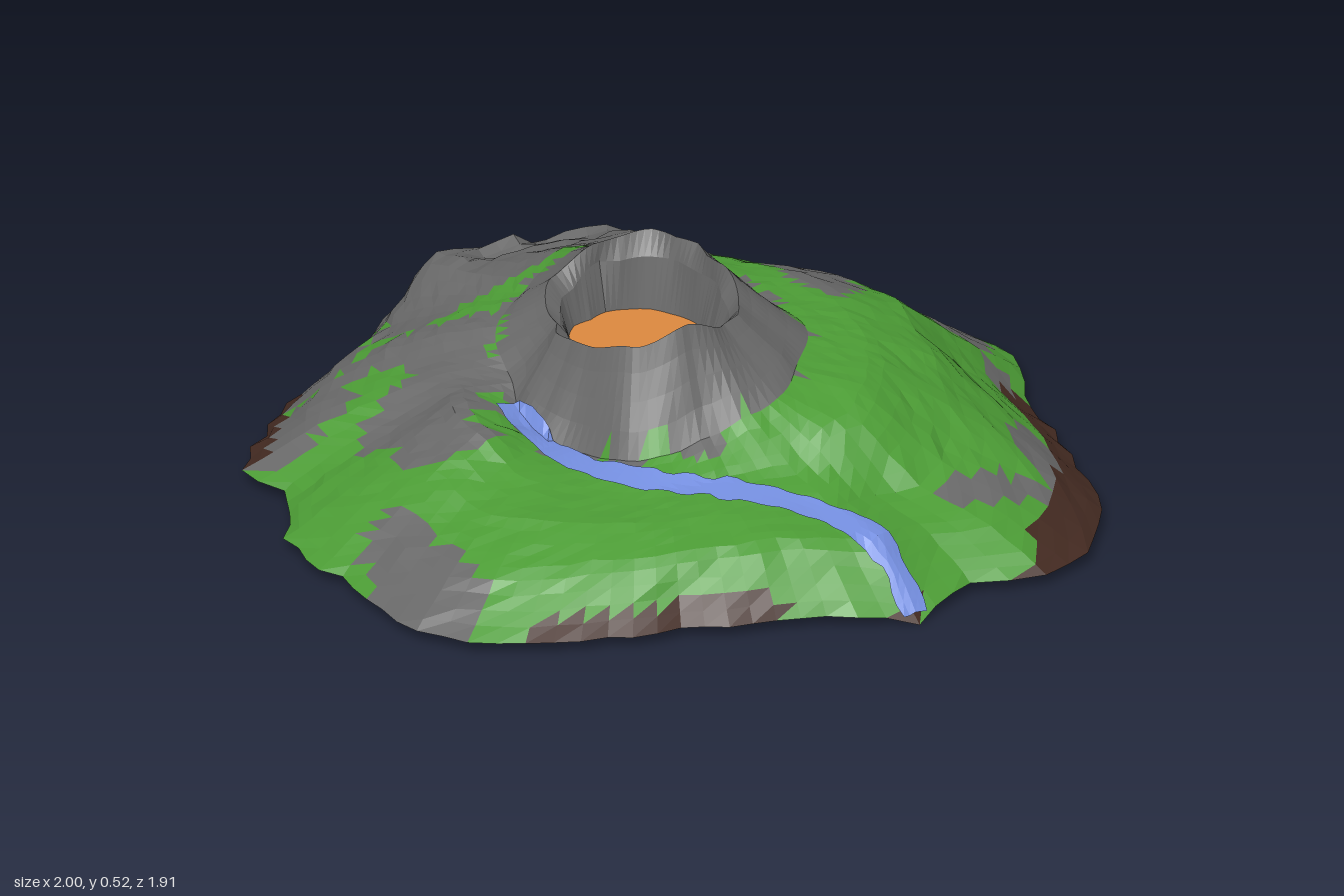
import * as THREE from 'three';

const CX = -0.05, CZ = -0.05, BASE = 0.03, LAVA = 0.34, SEG = 96, TAU = Math.PI * 2;

// Coastline corners (x, z)
const coast = [
  [0.94, -0.02], [0.91, 0.08], [0.89, 0.4], [0.85, 0.66], [0.73, 0.82], [0.58, 0.91], [0.42, 0.86], [0.3, 0.89], [0.22, 0.955],
  [0.12, 0.91], [-0.05, 0.86], [-0.3, 0.79], [-0.55, 0.74], [-0.8, 0.65], [-0.92, 0.53], [-0.95, 0.25],
  [-1, -0.02], [-0.89, -0.24], [-0.93, -0.42], [-0.8, -0.58], [-0.66, -0.71], [-0.53, -0.74], [-0.37, -0.9], [-0.25, -0.94],
  [0, -0.93], [0.29, -0.96], [0.4, -0.86], [0.5, -0.7], [0.62, -0.55], [0.85, -0.45], [0.97, -0.3], [0.99, -0.13],
].map(([x, z]) => [(Math.atan2(z - CZ, x - CX) + TAU) % TAU, Math.hypot(x - CX, z - CZ)])
  .sort((a, b) => a[0] - b[0]);

// Flank heights every 15 degrees, from the foot of the cone out to the coast
const flank = [
  [.35, .34, .29, .15], [.35, .34, .28, .14], [.35, .34, .25, .14], [.35, .34, .20, .13],
  [.34, .31, .17, .13], [.32, .23, .19, .16], [.28, .22, .20, .18], [.25, .21, .20, .17],
  [.23, .205, .20, .16], [.215, .205, .20, .14], [.21, .23, .19, .12], [.22, .29, .22, .13],
  [.25, .30, .21, .12], [.29, .28, .20, .13], [.32, .28, .22, .15], [.35, .31, .25, .17],
  [.37, .32, .27, .21], [.39, .35, .31, .27], [.42, .36, .30, .27], [.41, .35, .30, .26],
  [.39, .34, .29, .20], [.37, .34, .28, .18], [.36, .34, .28, .17], [.35, .34, .27, .14],
];
// Crater rim heights every 30 degrees
const rimHeights = [.52, .47, .475, .525, .47, .44, .43, .42, .45, .51, .525, .525];

const lerp = THREE.MathUtils.lerp;
const hash = (a, b) => {
  const s = Math.sin(a * 127.1 + b * 311.7) * 43758.5453;
  return (s - Math.floor(s)) * 2 - 1;
};
const softNoise = (x, y) => {
  const i = Math.floor(x), j = Math.floor(y);
  return lerp(lerp(hash(i, j), hash(i + 1, j), x - i), lerp(hash(i, j + 1), hash(i + 1, j + 1), x - i), y - j);
};

function coastRadius(a) {
  const n = coast.length;
  let k = coast.findIndex((p) => p[0] > a);
  if (k < 0) k = n;
  const [p, q] = [coast[(k + n - 1) % n], coast[k % n]];
  const span = (q[0] - p[0] + TAU) % TAU;
  return lerp(p[1], q[1], ((a - p[0] + TAU) % TAU) / span);
}

// Sample a list that runs around the full circle
function around(list, a, pick = (v) => v) {
  const f = (a / TAU) * list.length, i = Math.floor(f), u = f - i;
  return lerp(pick(list[i % list.length]), pick(list[(i + 1) % list.length]), u * u * (3 - 2 * u));
}

const ellipse = (a, rx, rz) => 1 / Math.hypot(Math.cos(a) / rx, Math.sin(a) / rz);
const floorRadius = (a) => ellipse(a, 0.17, 0.205) - 0.03 * Math.max(0, 1 - Math.abs(a - 2.1) / 0.5);
const rimRadius = (a) => ellipse(a, 0.22, 0.265) + 0.008 * Math.sin(5 * a);
const footRadius = (a) => ellipse(a, 0.36, 0.4) + 0.03 * Math.cos(a) + 0.012 * Math.sin(7 * a);
const edgeHeight = (a) => BASE * Math.min(1, Math.abs(a - 1.31) / 0.09);

function flankHeight(a, t) {
  const f = Math.min(t, 1) * 4, i = Math.min(Math.floor(f), 3);
  const at = (k) => (k > 3 ? edgeHeight(a) : around(flank, a, (row) => row[k]));
  return lerp(at(i), at(i + 1), f - i);
}

const polar = (x, z) => [(Math.atan2(z - CZ, x - CX) + TAU) % TAU, Math.hypot(x - CX, z - CZ)];

function groundHeight(x, z) {
  const [a, r] = polar(x, z), foot = footRadius(a), rim = rimRadius(a);
  if (r >= foot) return flankHeight(a, (r - foot) / (coastRadius(a) - foot));
  const u = THREE.MathUtils.clamp((r - rim) / (foot - rim), 0, 1);
  return lerp(around(rimHeights, a), flankHeight(a, 0), Math.pow(u, 0.9));
}

// Concentric rings: crater floor, inner wall, rim, cone, flanks, coast
const FLANK_RINGS = 18;
function makeRings() {
  const rings = [];
  const ring = (fn) => rings.push(Array.from({ length: SEG }, (_, i) => {
    const a = (i / SEG) * TAU, [r, y] = fn(a, i);
    return new THREE.Vector3(CX + Math.cos(a) * r, y, CZ + Math.sin(a) * r);
  }));
  ring((a, i) => [floorRadius(a) + 0.012 * softNoise(i / 4, 3), LAVA]);
  ring((a, i) => [lerp(floorRadius(a), rimRadius(a), 0.55) + 0.012 * softNoise(i / 3, 5), lerp(LAVA, around(rimHeights, a), 0.7)]);
  for (const u of [0, 0.2, 0.45, 0.72]) {
    ring((a, i) => {
      const r = lerp(rimRadius(a), footRadius(a), u);
      const y = groundHeight(CX + Math.cos(a) * r, CZ + Math.sin(a) * r);
      return [r + 0.012 * softNoise(i / 4, 11), y];
    });
  }
  for (let j = 0; j <= FLANK_RINGS; j++) {
    ring((a, i) => {
      const t = j / FLANK_RINGS, inner = j > 0 && j < FLANK_RINGS;
      // Crags on the back cliff
      const back = Math.max(0, 1 - Math.abs(a - 4.75) / 0.6) * Math.max(0, 1 - Math.abs(t - 0.65) / 0.3);
      const crag = back * (0.02 + 0.07 * softNoise(i / 2, j / 2));
      const wobble = inner ? 0.006 : j ? 0.012 : 0;
      return [lerp(footRadius(a), coastRadius(a), t) + wobble * hash(i, j), flankHeight(a, t) + crag + (inner ? 0.002 * hash(i, j + 40) : 0)];
    });
  }
  return rings;
}

// Bare rock patches (x, z, radius x, radius z)
const rockPatches = [
  [0, -0.75, 0.52, 0.27], [-0.25, -0.57, 0.28, 0.11], [0.36, -0.62, 0.18, 0.16], [-0.57, 0, 0.15, 0.13],
  [-0.55, -0.18, 0.18, 0.12], [-0.78, -0.43, 0.15, 0.11], [-0.42, -0.33, 0.12, 0.1], [-0.55, -0.45, 0.14, 0.07],
  [0.52, -0.26, 0.09, 0.14], [0.46, -0.46, 0.09, 0.13], [0.86, -0.26, 0.09, 0.16], [0.78, 0.5, 0.06, 0.18],
  [0.56, 0.63, 0.16, 0.06], [-0.83, 0.48, 0.11, 0.15], [-0.83, 0.22, 0.08, 0.11], [-0.62, -0.6, 0.1, 0.07],
  [-0.9, 0.38, 0.05, 0.12], [0.87, 0.0, 0.04, 0.09],
];
const grassPatches = [[0.3, -0.6, 0.11, 0.045], [-0.48, 0.03, 0.06, 0.06], [0.12, -0.45, 0.42, 0.035],
  [-0.62, -0.4, 0.06, 0.04], [-0.5, -0.68, 0.06, 0.03], [-0.3, -0.46, 0.12, 0.03]];
// Bare earth along the coast (start angle, end angle, width)
const earthBands = [[0.1, 0.6, 0.07], [0.6, 0.9, 0.12], [0.9, 1.02, 0.06], [1.28, 1.34, 0.03], [1.6, 2.3, 0.05],
  [3.55, 4.0, 0.05], [4.0, 4.4, 0.07], [4.4, 5.05, 0.03]];

function surfaceAt(x, z, noise) {
  const [a, r] = polar(x, z);
  const inside = ([px, pz, rx, rz]) => Math.hypot((x - px) / rx, (z - pz) / rz) < 1 + 0.14 * noise;
  const shore = coastRadius(a) - r + 0.012 * noise;
  if (earthBands.some(([s, e, w]) => a > s && a < e && shore < w)) return 'earth';
  if (inside([-0.04, -0.03, 0.375, 0.39])) return 'rock';
  if (grassPatches.some(inside)) return 'grass';
  return rockPatches.some(inside) ? 'rock' : 'grass';
}

function meshFrom(name, points, material) {
  const geometry = new THREE.BufferGeometry().setFromPoints(points);
  geometry.computeVertexNormals();
  const mesh = new THREE.Mesh(geometry, material);
  mesh.name = name;
  return mesh;
}

export function createModel() {
  const group = new THREE.Group();
  group.name = 'volcanoIsland';
  const material = (name, color) => Object.assign(new THREE.MeshStandardMaterial({ color }), { name });
  const mats = {
    grass: material('grass green', 0x4c9c35),
    rock: material('rock grey', 0x686868),
    earth: material('earth brown', 0x432a21),
    lava: material('lava orange', 0xdb883f),
    water: material('water blue', 0x748edf),
  };

  // Terrain, sorted by surface
  const rings = makeRings(), faces = { grass: [], rock: [], earth: [] };
  for (let j = 0; j < rings.length - 1; j++) {
    for (let i = 0; i < SEG; i++) {
      const n = (i + 1) % SEG;
      const [a, b, c, d] = [rings[j][i], rings[j + 1][i], rings[j + 1][n], rings[j][n]];
      [[a, c, b], [a, d, c]].forEach((tri) => {
        const x = (tri[0].x + tri[1].x + tri[2].x) / 3, z = (tri[0].z + tri[1].z + tri[2].z) / 3;
        const limit = j < 4 ? 0 : softNoise(i / 2, j / 2);
        faces[surfaceAt(x, z, limit)].push(...tri);
      });
    }
  }
  group.add(meshFrom('grassSlopes', faces.grass, mats.grass), meshFrom('rockCone', faces.rock, mats.rock), meshFrom('earthShore', faces.earth, mats.earth));

  // Lava pool, and a flat underside that dips only at the river mouth
  const lava = [], base = [], floor = rings[0], shore = rings[rings.length - 1];
  const lavaMid = new THREE.Vector3(CX, LAVA, CZ), baseMid = new THREE.Vector3(CX, BASE, CZ);
  const inset = shore.map((p) => new THREE.Vector3(lerp(p.x, CX, 0.06), BASE, lerp(p.z, CZ, 0.06)));
  for (let i = 0; i < SEG; i++) {
    const n = (i + 1) % SEG;
    lava.push(lavaMid, floor[n], floor[i]);
    base.push(baseMid, inset[i], inset[n], inset[i], shore[i], shore[n], inset[i], shore[n], inset[n]);
  }
  group.add(meshFrom('lavaPool', lava, mats.lava), meshFrom('underside', base, mats.earth));

  // River ribbon draped over the ground
  const path = new THREE.CatmullRomCurve3([[-0.41, -0.04], [-0.39, 0.1], [-0.34, 0.25], [-0.24, 0.39], [-0.08, 0.51],
    [0.07, 0.64], [0.17, 0.77], [0.205, 0.86], [0.215, 0.94]].map(([x, z]) => new THREE.Vector3(x, 0, z)));
  const STEPS = 48, ACROSS = 4, rows = [], water = [];
  for (let s = 0; s <= STEPS; s++) {
    const p = path.getPointAt(s / STEPS), t = path.getTangentAt(s / STEPS);
    const half = 0.039 + 0.01 * hash(s >> 1, 9);
    rows.push(Array.from({ length: ACROSS + 1 }, (_, k) => {
      const o = (k / ACROSS * 2 - 1) * half, x = p.x - t.z * o, z = p.z + t.x * o;
      return new THREE.Vector3(x, groundHeight(x, z) + 0.014, z);
    }));
  }
  for (let s = 0; s < STEPS; s++) {
    for (let k = 0; k < ACROSS; k++) {
      const [a, b, c, d] = [rows[s][k], rows[s + 1][k], rows[s + 1][k + 1], rows[s][k + 1]];
      water.push(a, c, b, a, d, c);
    }
  }
  mats.water.side = THREE.DoubleSide;
  group.add(meshFrom('river', water, mats.water));
  return group;
}
